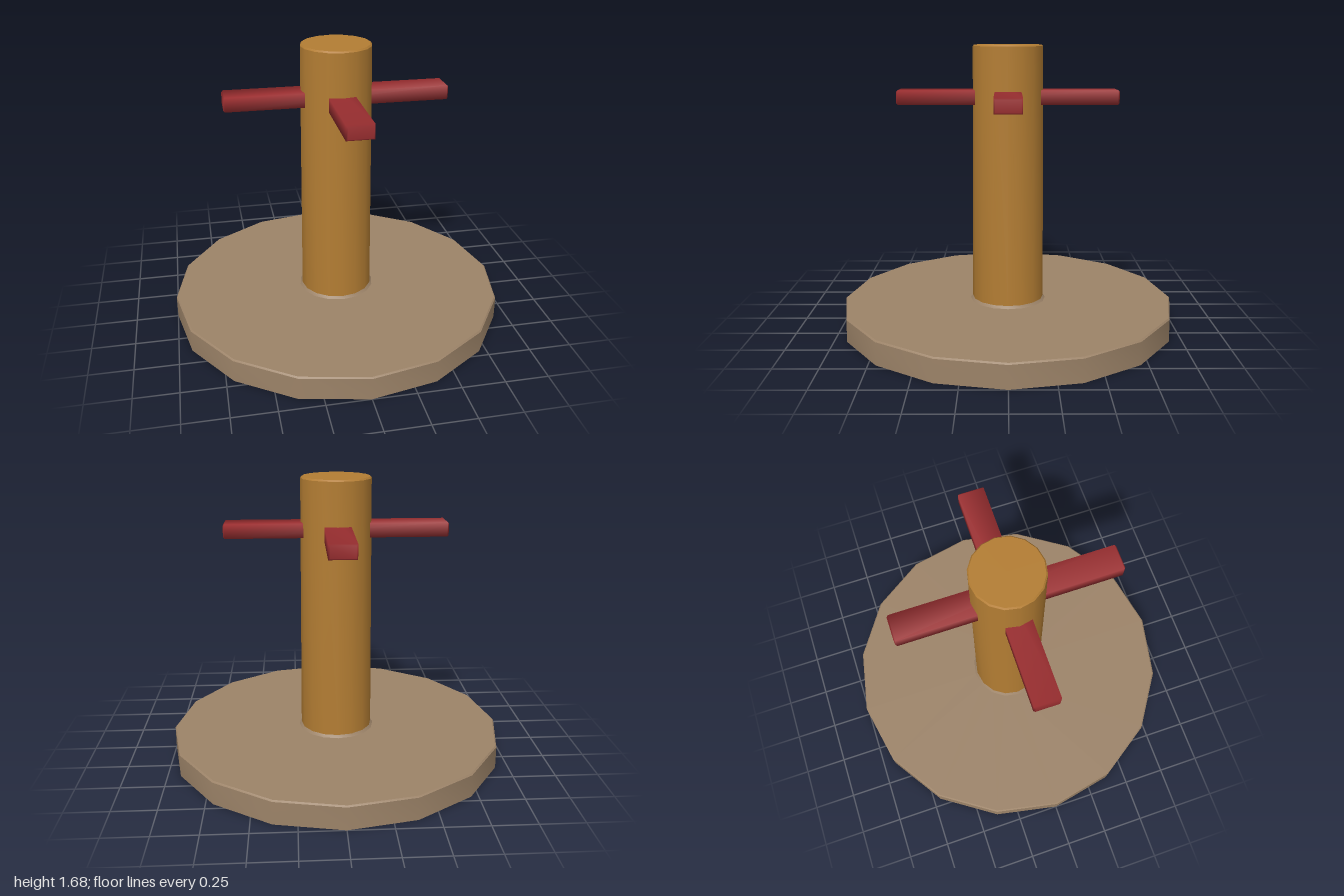
import * as THREE from 'three';
import { mergeVertices, toCreasedNormals } from 'three/addons/utils/BufferGeometryUtils.js';

const SIDES = 16;

const material = (color) =>
  new THREE.MeshStandardMaterial({ color, side: THREE.DoubleSide });

// Turned part from [radius, height] pairs, smooth around and sharp at the rims
function turned(name, profile, mat) {
  const points = profile.map(([r, y]) => new THREE.Vector2(r, y));
  const geometry = toCreasedNormals(new THREE.LatheGeometry(points, SIDES), 0.5);
  const mesh = new THREE.Mesh(geometry, mat);
  mesh.name = name;
  return mesh;
}

// Chamfered bar along z, centred, with normals shared across the chamfers
function chamferedBar(width, height, length, bevel) {
  const w = width / 2 - bevel;
  const h = height / 2 - bevel;
  const section = new THREE.Shape([
    new THREE.Vector2(-w, -h), new THREE.Vector2(w, -h),
    new THREE.Vector2(w, h), new THREE.Vector2(-w, h),
  ]);
  const bar = new THREE.ExtrudeGeometry(section, {
    depth: length - 2 * bevel, bevelSize: bevel, bevelThickness: bevel, bevelSegments: 1,
  });
  bar.center();
  bar.deleteAttribute('normal');
  bar.deleteAttribute('uv');
  const merged = mergeVertices(bar);
  merged.computeVertexNormals();
  return merged;
}

export function createModel() {
  const model = new THREE.Group();
  model.name = 'pegPostStand';

  // Base: a shallow shell, open below, with a small collar around its hole
  model.add(turned('base', [
    [1, 0], [1, 0.132], [0.992, 0.14], [0.228, 0.14], [0.215, 0.155],
  ], material(0x9c8368)));

  // Slightly tapered hollow post on the collar, chamfered at the top
  model.add(turned('post', [
    [0.215, 0.155], [0.205, 1.668], [0.197, 1.677], [0, 1.677],
  ], material(0xb37d33)));

  // Two bars through the post form the four pegs
  const barMaterial = material(0x9a2e30);
  const barGeometry = chamferedBar(0.152, 0.083, 1.3, 0.009);
  ['frontBackPegs', 'leftRightPegs'].forEach((name, i) => {
    const bar = new THREE.Mesh(barGeometry, barMaterial);
    bar.name = name;
    bar.position.y = 1.374;
    bar.rotation.y = i * Math.PI / 2;
    model.add(bar);
  });

  return model;
}
